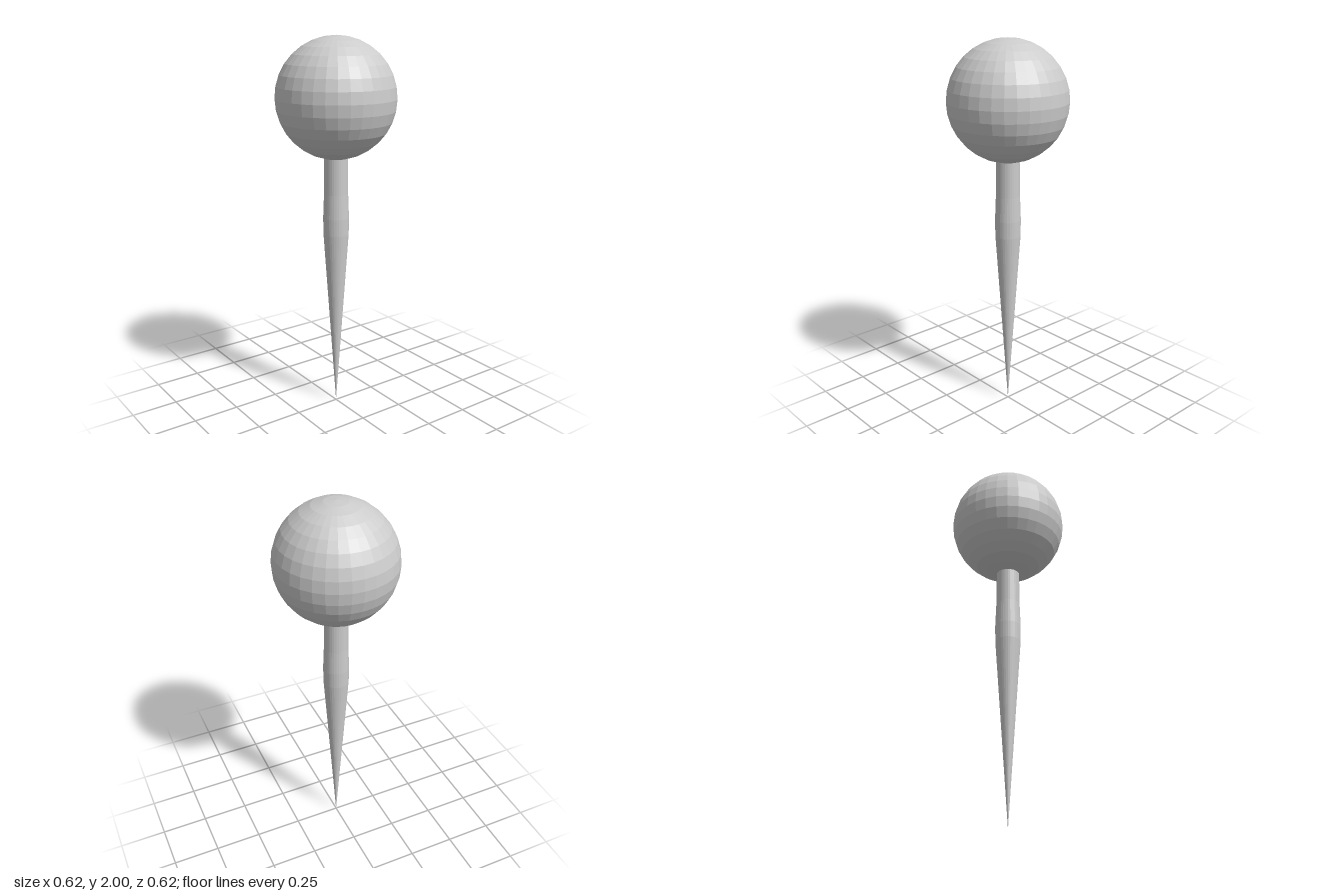
import * as THREE from 'three';

const SIDES = 32;

export function createModel() {
  const group = new THREE.Group();
  const material = new THREE.MeshStandardMaterial({ color: 0xcccccc, flatShading: true });

  const add = (name, geometry, y = 0) => {
    const mesh = new THREE.Mesh(geometry, material);
    mesh.name = name;
    mesh.position.y = y;
    group.add(mesh);
  };

  // Faceted ball head
  add('ballHead', new THREE.SphereGeometry(0.31, SIDES, 16), 1.69);

  // Shaft: sharp tip, long taper, slightly thicker collar, straight neck running into the head
  const profile = [
    [0, 0], [0.067, 0.98], [0.068, 1.07], [0.063, 1.2], [0.061, 1.42], [0, 1.42],
  ].map(([r, y]) => new THREE.Vector2(r, y));
  add('taperedShaft', new THREE.LatheGeometry(profile, SIDES));

  return group;
}
